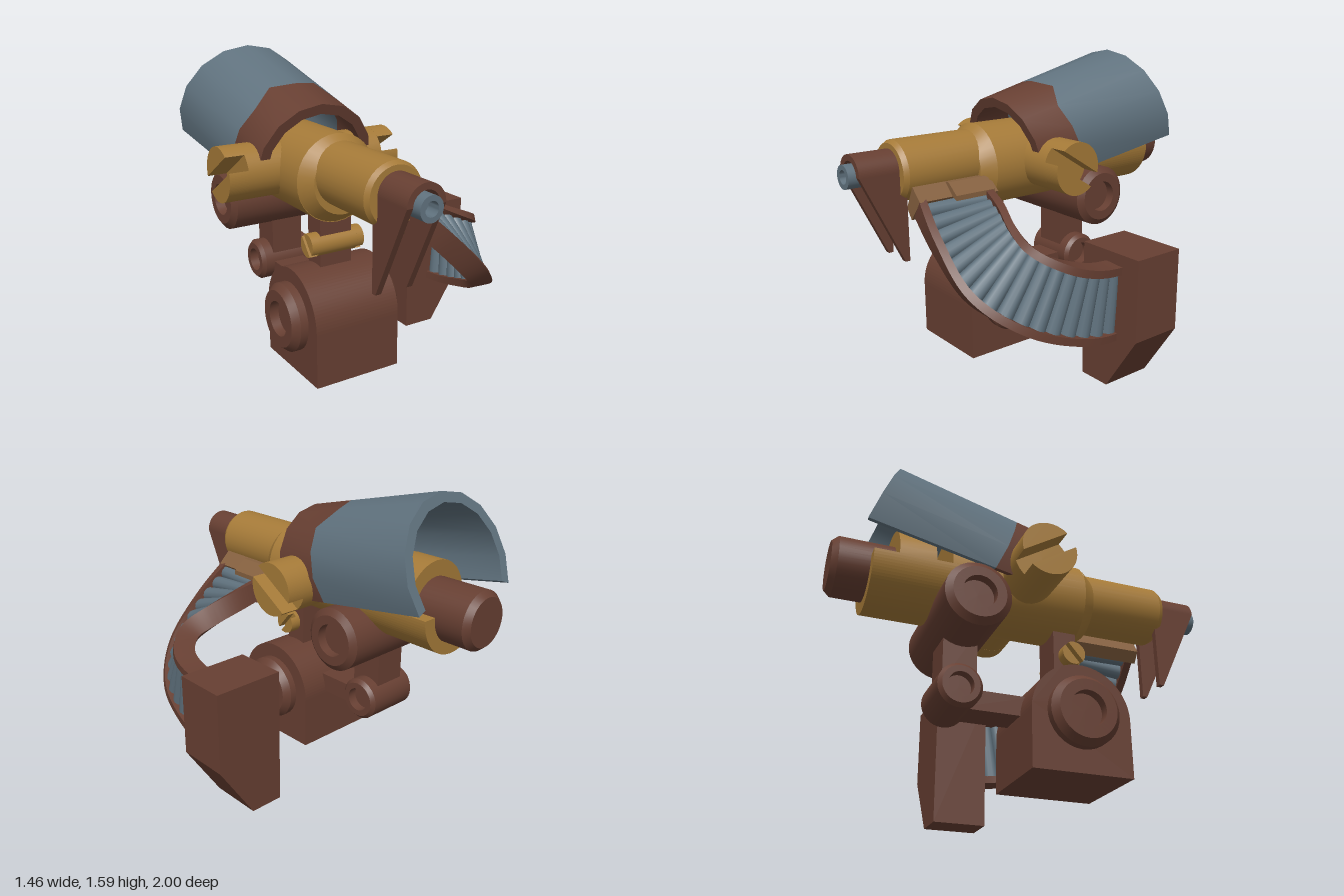
import * as THREE from 'three';
import { toCreasedNormals } from 'three/addons/utils/BufferGeometryUtils.js';

const mat = (name, color) => Object.assign(new THREE.MeshStandardMaterial({ color }), { name });
const V = (x, y, z) => new THREE.Vector3(x, y, z);
const CX = -0.255; // centre line of the gun

export function createModel() {
  const brown = mat('rust brown', 0x673f32);
  const gold = mat('brass', 0xa57a38);
  const steel = mat('blue steel', 0x60727e);
  const tan = mat('pale bronze', 0x85603f);
  const model = new THREE.Group();

  const add = (name, geo, material, x = 0, y = 0, z = 0, parent = model) => {
    const m = new THREE.Mesh(geo, material);
    m.name = name;
    m.position.set(x, y, z);
    parent.add(m);
    return m;
  };
  const polygon = (pts) => new THREE.Shape(pts.map(([x, y]) => new THREE.Vector2(x, y)));
  // extrude along z, from z0 to z1
  const extrudeZ = (shape, z0, z1) =>
    new THREE.ExtrudeGeometry(shape, { depth: z1 - z0, bevelEnabled: false, curveSegments: 24 }).translate(0, 0, z0);
  // extrude along x; the shape's own x axis points to -z
  const extrudeX = (shape, x0, x1) => extrudeZ(shape, x0, x1).rotateY(Math.PI / 2);
  const lathe = (pts) =>
    toCreasedNormals(new THREE.LatheGeometry(pts.map(([r, y]) => new THREE.Vector2(r, y)), 32), 0.5);
  const box = (name, material, x0, x1, y0, y1, z0, z1) =>
    add(name, new THREE.BoxGeometry(x1 - x0, y1 - y0, z1 - z0), material, (x0 + x1) / 2, (y0 + y1) / 2, (z0 + z1) / 2);

  // skin over closed cross-sections, capped at both ends
  const loft = (rows) => {
    const n = rows[0].length, pos = rows.flat().flatMap((p) => [p.x, p.y, p.z]), idx = [];
    for (let i = 0; i < rows.length - 1; i++)
      for (let j = 0; j < n; j++) {
        const a = i * n + j, b = i * n + ((j + 1) % n);
        idx.push(a, b, b + n, a, b + n, a + n);
      }
    const e = (rows.length - 1) * n;
    for (let j = 1; j < n - 1; j++) idx.push(0, j + 1, j, e, e + j, e + j + 1);
    // turn the faces outward
    const flat = rows.flat();
    let vol = 0;
    for (let k = 0; k < idx.length; k += 3)
      vol += flat[idx[k]].dot(flat[idx[k + 1]].clone().cross(flat[idx[k + 2]]));
    if (vol < 0) idx.reverse();
    const g = new THREE.BufferGeometry();
    g.setAttribute('position', new THREE.Float32BufferAttribute(pos, 3));
    g.setIndex(idx);
    return toCreasedNormals(g, 0.6);
  };

  // drum lying along x with chamfered, hollowed ends
  const drum = (name, half, y, z, r, ch, rim, hole) => {
    const pts = [[0, -half + 0.05], [hole, -half + 0.05], [hole, -half], [rim, -half], [r, -half + ch]];
    const all = [...pts, ...pts.map(([a, b]) => [a, -b]).reverse()];
    add(name, lathe(all).rotateZ(-Math.PI / 2), brown, CX, y, z);
  };

  // pin lying along x with a screw slot in each end
  const slottedPin = (name, half, y, z, r, slot, depth, angle) => {
    const g = new THREE.Group();
    g.name = name;
    model.add(g);
    const core = new THREE.CylinderGeometry(r, r, 2 * (half - depth), 32).rotateZ(Math.PI / 2);
    add(name + 'Core', core, gold, CX, y, z, g);
    const a = Math.asin(slot / r);
    for (const turn of [angle, angle + Math.PI])
      for (const x0 of [-half, half - depth]) {
        const s = new THREE.Shape();
        s.absarc(0, 0, r, a + turn, Math.PI - a + turn, false);
        s.closePath();
        add(name + 'Jaw', extrudeX(s, x0, x0 + depth), gold, CX, y, z, g);
      }
  };

  // gun body: narrow front, flare, wide rear with an open top at the back
  const bodyY = 1.04, bodyR = 0.218;
  const alongZ = (pts) => lathe(pts).rotateX(Math.PI / 2);
  add('bodyFront', alongZ([[0.155, 0.2], [0.155, 0.73], [0.14, 0.755], [0, 0.755]]), gold, CX, 1.077, 0);
  add('bodyFlare', alongZ([[bodyR, 0.26], [0.165, 0.33], [0, 0.33]]), gold, CX, bodyY + 0.004, 0);
  add('bodyMain', alongZ([[0, -0.44], [bodyR, -0.44], [bodyR, 0.26], [0, 0.26]]), gold, CX, bodyY, 0);
  add('bodyRearRing', alongZ([[0, -0.7], [bodyR, -0.7], [bodyR, -0.52], [0, -0.52]]), gold, CX, bodyY, 0);
  const halfDisc = new THREE.Shape();
  halfDisc.absarc(0, 0, bodyR, Math.PI, 2 * Math.PI, false);
  halfDisc.closePath();
  add('bodyRearCradle', extrudeZ(halfDisc, -0.82, -0.4), gold, CX, bodyY, 0);
  add('breech', alongZ([[0, -1], [0.122, -1], [0.148, -0.97], [0.148, -0.53], [0, -0.53]]), brown, CX, 1.03, 0);
  slottedPin('trunnion', 0.478, 1.055, -0.05, 0.138, 0.04, 0.1, -0.56);

  // muzzle guard: arch with two tapering side fins around the barrel tube
  const arch = new THREE.Shape();
  arch.absarc(0, 0, 0.1, 0, Math.PI, false);
  arch.absarc(0, 0, 0.069, Math.PI, 0, true);
  arch.closePath();
  add('muzzleArch', extrudeZ(arch, 0.72, 0.965), brown, CX, 1.09, 0);
  const fin = polygon([[-0.965, 1.09], [-0.745, 0.635], [-0.72, 0.635], [-0.72, 1.09]]);
  for (const x of [CX - 0.1, CX + 0.069]) add('muzzleFin', extrudeX(fin, x, x + 0.031), brown);
  add('barrelTube', alongZ([[0.06, 0.72], [0.06, 1], [0.035, 1], [0.035, 0.93], [0, 0.93]]), steel, CX, 1.085, 0);

  // curved shield, brown at the front, steel behind, with a stepped seam
  const ends = [
    { top: [1.38, 0.13], up: [0.97, 0.242], r: 0.32 },
    { top: [1.585, -0.695], up: [0.931, 0.364], r: 0.368 },
  ];
  const shieldPoint = (a, t, inset) => {
    const [p, q] = ends.map(({ top, up, r }) => {
      const d = (r - inset) * Math.cos(a) - r;
      return V(CX + (r - inset) * Math.sin(a), top[0] + up[0] * d, top[1] + up[1] * d);
    });
    return p.lerp(q, t);
  };
  const seam = [0.32, 0.36, 0.27, 0.28, 0.29, 0.31];
  const shield = (range) => {
    const rows = [];
    for (let i = -5; i <= 5; i++) {
      const a = (i * Math.PI) / 8, [t0, t1] = range(seam[Math.abs(i)]);
      rows.push([shieldPoint(a, t0, 0), shieldPoint(a, t1, 0), shieldPoint(a, t1, 0.052), shieldPoint(a, t0, 0.052)]);
    }
    return loft(rows);
  };
  add('shieldFront', shield((s) => [0, s]), brown);
  add('shieldRear', shield((s) => [s, 1]), steel);

  // base block with rounded top, side hubs and the jointed arm
  const block = new THREE.Shape();
  block.moveTo(-0.2525, 0.067);
  block.lineTo(0.2525, 0.067);
  block.lineTo(0.2525, 0.35);
  block.absarc(0, 0.35, 0.2525, 0, Math.PI, false);
  block.closePath();
  add('baseBlock', extrudeX(block, -0.487, -0.02), brown, 0, 0, 0.2);
  drum('baseHub', 0.308, 0.355, 0.2, 0.175, 0.035, 0.145, 0.09);
  drum('upperRotor', 0.35, 0.835, -0.345, 0.163, 0.025, 0.13, 0.083);
  drum('lowerRotor', 0.158, 0.45, -0.365, 0.11, 0.02, 0.092, 0.062);
  box('rotorLink', brown, -0.345, -0.17, 0.48, 0.76, -0.44, -0.27);
  box('baseLink', brown, -0.345, -0.17, 0.36, 0.46, -0.36, 0);
  box('bodyMount', brown, -0.345, -0.17, 0.55, 0.86, 0.13, 0.25);
  slottedPin('mountPin', 0.147, 0.71, 0.215, 0.06, 0.012, 0.04, 0.87);

  // ammunition box
  add('ammoBox', extrudeZ(polygon([[0.355, 0], [0.535, 0], [0.73, 0.3], [0.73, 0.72], [0.355, 0.72]]), -0.26, 0.02), brown);

  // feed chute: two twisting rails with rounds laid between them
  const inner = new THREE.CatmullRomCurve3([V(-0.06, 0.92, 0.325), V(0.1, 0.87, 0.345), V(0.28, 0.8, 0.385),
    V(0.43, 0.745, 0.38), V(0.54, 0.69, 0.27), V(0.57, 0.655, 0.14), V(0.57, 0.64, 0)]);
  const outer = new THREE.CatmullRomCurve3([V(-0.1, 0.93, 0.69), V(0.08, 0.77, 0.705), V(0.3, 0.565, 0.67),
    V(0.47, 0.42, 0.49), V(0.535, 0.335, 0.27), V(0.55, 0.3, 0.12), V(0.545, 0.29, 0)]);
  const rail = (curve) => {
    const rows = [];
    for (let i = 0; i <= 32; i++) {
      const t = i / 32, p = curve.getPointAt(t);
      const w = outer.getPointAt(t).sub(inner.getPointAt(t)).normalize();
      const n = curve.getTangentAt(t).cross(w).normalize();
      rows.push([[1, 1], [-1, 1], [-1, -1], [1, -1]].map(([a, b]) =>
        p.clone().addScaledVector(n, a * 0.055).addScaledVector(w, b * 0.02)));
    }
    return loft(rows);
  };
  add('innerRail', rail(inner), brown);
  add('outerRail', rail(outer), brown);
  const rounds = 16;
  for (let i = 0; i < rounds; i++) {
    const t = (i + 0.5) / rounds, a = inner.getPointAt(t), b = outer.getPointAt(t);
    const d = b.clone().sub(a), mid = a.add(b).multiplyScalar(0.5);
    const m = add('round', new THREE.CylinderGeometry(0.043, 0.034, d.length(), 12), steel, mid.x, mid.y, mid.z);
    m.quaternion.setFromUnitVectors(V(0, 1, 0), d.normalize());
  }

  // chute mouth bracket on the side of the body
  add('chuteBracket', extrudeZ(polygon([[-0.17, 0.905], [-0.13, 0.85], [-0.045, 0.955], [-0.11, 1.02]]), 0.3, 0.715), tan);
  add('bracketLip', extrudeZ(polygon([[-0.11, 1.02], [-0.1, 0.97], [-0.01, 0.94], [-0.01, 0.965], [-0.08, 1.02]]), 0.3, 0.53), tan);
  add('bracketFlange', extrudeZ(polygon([[-0.11, 1], [-0.13, 0.83], [-0.06, 0.83], [-0.01, 0.95], [-0.07, 1]]), 0.28, 0.31), tan);
  return model;
}
